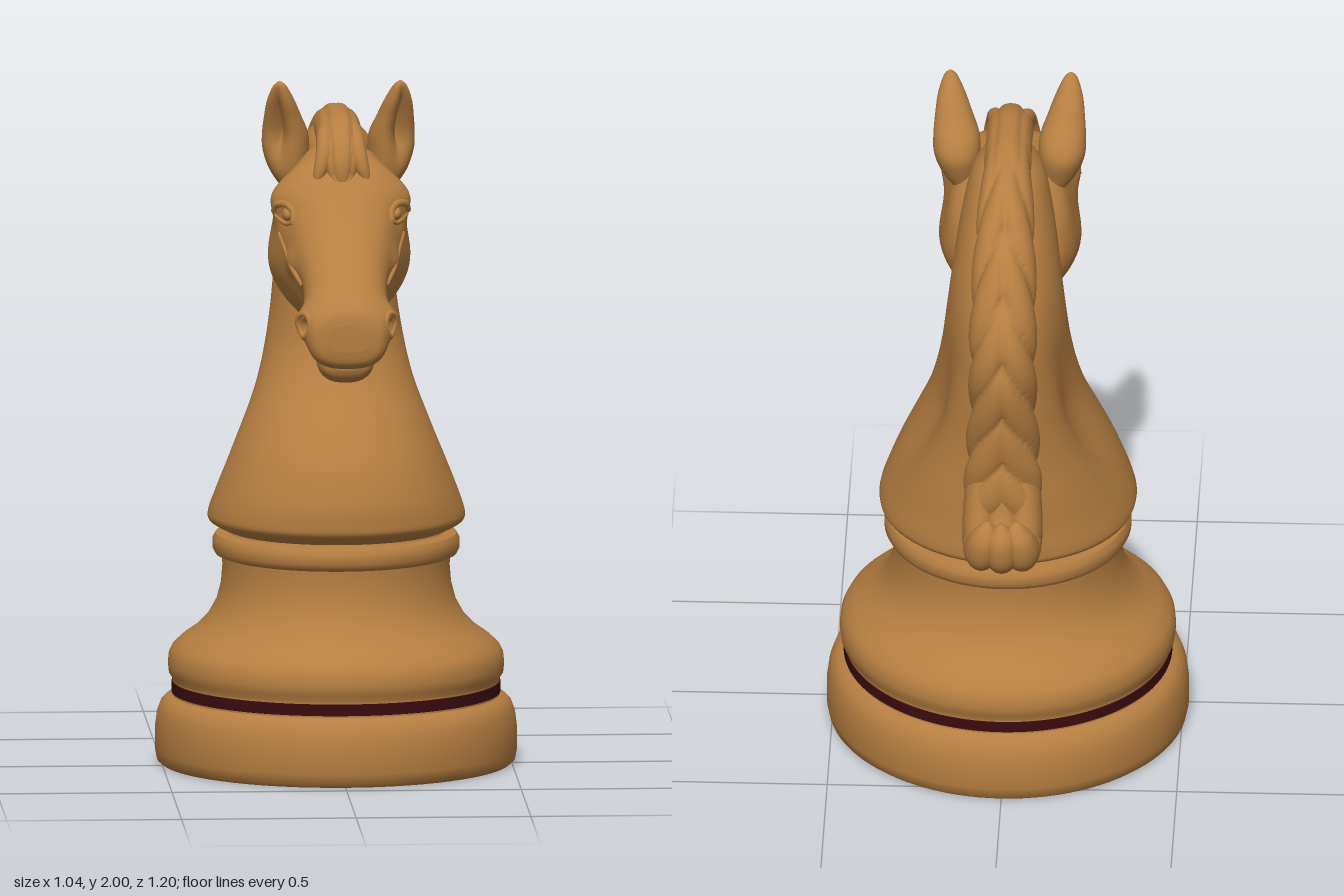
import * as THREE from 'three';
import { toCreasedNormals } from 'three/addons/utils/BufferGeometryUtils.js';

const wood = new THREE.MeshStandardMaterial({ color: 0xb67e41 });
wood.name = 'warm wood';
const bandColour = new THREE.MeshStandardMaterial({ color: 0x3a0b0e });
bandColour.name = 'dark red';

const V = (x, y, z) => new THREE.Vector3(x, y, z);
const bell = (d) => Math.exp(-d * d);
const soft = (c, p = 0.85) => Math.sign(c) * Math.abs(c) ** p;

function mesh(geometry, name, material = wood) {
  const m = new THREE.Mesh(geometry, material);
  m.name = name;
  return m;
}

// Smoothly interpolated rows of numbers
function rowSpline(rows) {
  const curves = rows[0].map((_, k) => new THREE.SplineCurve(rows.map((r, i) => new THREE.Vector2(i, r[k]))));
  return (t) => curves.map((c) => c.getPoint(t).y);
}

// Closed skin of rings point(t, angle), capped at both ends, always facing outward
function skin(point, nu, nv) {
  const pos = [], idx = [], ends = [V(0, 0, 0), V(0, 0, 0)];
  for (let i = 0; i <= nu; i++) {
    for (let j = 0; j < nv; j++) {
      const p = point(i / nu, (j / nv) * Math.PI * 2);
      pos.push(p.x, p.y, p.z);
      if (i === 0) ends[0].addScaledVector(p, 1 / nv);
      if (i === nu) ends[1].addScaledVector(p, 1 / nv);
    }
  }
  ends.forEach((e) => pos.push(e.x, e.y, e.z));
  const first = (nu + 1) * nv;
  for (let j = 0; j < nv; j++) {
    const k = (j + 1) % nv;
    for (let i = 0; i < nu; i++) {
      const a = i * nv + j, b = i * nv + k;
      idx.push(a, b, a + nv, b, b + nv, a + nv);
    }
    idx.push(first, k, j, first + 1, nu * nv + j, nu * nv + k);
  }
  const at = (n) => V(pos[n * 3], pos[n * 3 + 1], pos[n * 3 + 2]);
  let volume = 0;
  for (let n = 0; n < idx.length; n += 3) volume += at(idx[n]).dot(at(idx[n + 1]).cross(at(idx[n + 2])));
  if (volume < 0) idx.reverse();
  const g = new THREE.BufferGeometry();
  g.setAttribute('position', new THREE.Float32BufferAttribute(pos, 3));
  g.setIndex(idx);
  g.computeVertexNormals();
  return g;
}

// Lock of hair: rows are [x, y, z, half width, half thickness]
function lock(rows, nu, nv, relief = () => 0) {
  const path = rowSpline(rows);
  return skin((t, a) => {
    const [x, y, z, w, h] = path(t);
    const p = path(Math.max(0, t - 0.01)), q = path(Math.min(1, t + 0.01));
    const dir = V(0, q[1] - p[1], q[2] - p[2]).normalize();
    const k = 1 + relief(t, a);
    const out = Math.sin(a) * h * k;
    return V(x + Math.cos(a) * w * k, y - dir.z * out, z + dir.y * out);
  }, nu, nv);
}

// Slices along z: rows are [z, top, bottom, upper half width, lower half width]
function slices(rows, nu, nv, bumps = []) {
  const at = rowSpline(rows);
  return skin((t, a) => {
    const [z, top, bottom, wTop, wBottom] = at(t);
    const s = Math.sin(a), c = Math.cos(a);
    const y = (top + bottom) / 2 + ((top - bottom) / 2) * soft(s);
    let x = THREE.MathUtils.lerp(wBottom, wTop, (s + 1) / 2) * soft(c, 0.75);
    for (const [bz, by, r, amount] of bumps) {
      x += soft(c, 0.6) * amount * bell(Math.hypot(z - bz, y - by) / r);
    }
    return V(x, y, z);
  }, nu, nv);
}

function turned(points, name, material) {
  const g = new THREE.LatheGeometry(points.map(([r, y]) => new THREE.Vector2(r, y)), 96);
  const m = mesh(toCreasedNormals(g, 0.75), name, material);
  m.position.z = -0.058;
  return m;
}

export function createModel() {
  const model = new THREE.Group();
  model.name = 'chessKnight';

  // Turned base with inlaid band
  model.add(
    turned([[0, 0], [0.5, 0], [0.512, 0.01], [0.518, 0.04], [0.518, 0.1], [0.512, 0.145], [0.501, 0.175],
      [0.485, 0.19], [0.468, 0.197], [0.468, 0.202]], 'foot'),
    turned([[0.468, 0.202], [0.47, 0.203], [0.47, 0.235], [0.468, 0.236]], 'band', bandColour),
    turned([[0.468, 0.236], [0.468, 0.245], [0.478, 0.26], [0.481, 0.285], [0.478, 0.315], [0.467, 0.337],
      [0.44, 0.362], [0.4, 0.39], [0.367, 0.425], [0.342, 0.47], [0.329, 0.52], [0.325, 0.57], [0.326, 0.598],
      [0.345, 0.605], [0.353, 0.62], [0.353, 0.648], [0.344, 0.663], [0.31, 0.667], [0.3, 0.69], [0, 0.69]], 'pedestal'),
  );

  // Neck: rows are [y, front z, back z, half width]
  const neckAt = rowSpline([
    [0.668, 0.24, -0.356, 0.298], [0.685, 0.28, -0.396, 0.338], [0.705, 0.311, -0.427, 0.367], [0.735, 0.317, -0.432, 0.369],
    [0.8, 0.313, -0.43, 0.348], [0.9, 0.28, -0.43, 0.31], [1.0, 0.215, -0.425, 0.271], [1.1, 0.135, -0.425, 0.236],
    [1.2, 0.078, -0.43, 0.21], [1.3, 0.058, -0.435, 0.188], [1.4, 0.05, -0.435, 0.173], [1.5, 0.05, -0.41, 0.16],
    [1.6, 0.08, -0.36, 0.146], [1.7, 0.1, -0.285, 0.128], [1.8, 0.1, -0.19, 0.1], [1.86, 0.05, -0.1, 0.05],
  ]);
  model.add(mesh(skin((t, a) => {
    const [y, front, back, w] = neckAt(t);
    const z = (front + back) / 2 + ((front - back) / 2) * Math.sin(a);
    const hollow = 0.05 * bell(Math.hypot((y - 1.08) / 0.23, (z + 0.21 - (y - 1.06) * -0.3) / 0.09));
    return V(Math.cos(a) * (w - hollow), y, z);
  }, 80, 72), 'neck'));

  // Head; bumps are [z, y, radius, amount]
  const head = mesh(slices([
    [-0.052, 1.56, 1.46, 0.08, 0.08], [-0.04, 1.66, 1.4, 0.145, 0.135], [0, 1.76, 1.335, 0.178, 0.16],
    [0.06, 1.8, 1.297, 0.186, 0.165], [0.12, 1.8, 1.29, 0.19, 0.165], [0.18, 1.79, 1.3, 0.192, 0.158],
    [0.24, 1.75, 1.305, 0.182, 0.148], [0.3, 1.685, 1.31, 0.158, 0.138], [0.36, 1.62, 1.305, 0.138, 0.13],
    [0.42, 1.563, 1.28, 0.122, 0.124], [0.48, 1.505, 1.247, 0.114, 0.122], [0.53, 1.457, 1.235, 0.108, 0.125],
    [0.57, 1.422, 1.232, 0.1, 0.12], [0.594, 1.395, 1.25, 0.085, 0.1], [0.602, 1.36, 1.285, 0.05, 0.065],
  ], 110, 96, [
    [0.19, 1.68, 0.065, 0.034], [0.1, 1.46, 0.13, 0.032], [0.245, 1.625, 0.03, -0.012], [0.31, 1.5, 0.035, 0.012],
    [0.36, 1.4, 0.06, -0.016], [0.525, 1.365, 0.05, 0.032], [0.545, 1.352, 0.02, -0.04], [0.13, 1.745, 0.04, -0.012],
  ]), 'head');
  model.add(head);

  // Raised line lying on the head's side, through [z, y] points
  const ray = new THREE.Raycaster();
  const skinX = (z, y) => {
    ray.set(V(1, y, z), V(-1, 0, 0));
    return ray.intersectObject(head)[0].point.x;
  };
  function ridge(points, s, radius, closed, name) {
    const path = new THREE.CatmullRomCurve3(points.map(([z, y]) => V(s * (skinX(z, y) - radius * 0.3), y, z)), closed);
    return mesh(new THREE.TubeGeometry(path, 48, radius, 10, closed), name);
  }
  const ring = Array.from({ length: 12 }, (_, i) => {
    const a = (i / 12) * Math.PI * 2;
    return [0.542 + 0.026 * Math.cos(a), 1.354 + 0.034 * Math.sin(a)];
  });

  // Lower jaw and lip
  model.add(mesh(slices([
    [0.15, 1.36, 1.305, 0.05, 0.05], [0.2, 1.38, 1.296, 0.095, 0.075], [0.28, 1.37, 1.284, 0.1, 0.075],
    [0.35, 1.34, 1.256, 0.096, 0.074], [0.4, 1.31, 1.198, 0.092, 0.074], [0.445, 1.29, 1.174, 0.09, 0.074],
    [0.485, 1.265, 1.19, 0.072, 0.06], [0.5, 1.248, 1.215, 0.035, 0.03],
  ], 36, 40), 'lowerJaw'));

  // Ears: rows are [y, centre x, centre z, half width, half depth]
  const earAt = rowSpline([
    [1.67, 0.125, 0.06, 0.03, 0.035], [1.73, 0.142, 0.06, 0.054, 0.062], [1.79, 0.15, 0.058, 0.067, 0.079],
    [1.84, 0.153, 0.07, 0.066, 0.074], [1.89, 0.161, 0.096, 0.054, 0.056],
    [1.94, 0.168, 0.122, 0.04, 0.042], [1.985, 0.172, 0.145, 0.02, 0.02], [2.0, 0.173, 0.15, 0.004, 0.004],
  ]);
  for (const s of [1, -1]) {
    const side = s > 0 ? 'left' : 'right';
    model.add(mesh(skin((t, a) => {
      const [y, cx, cz, w, d] = earAt(t);
      const turn = Math.atan2(Math.sin(a - 1.1), Math.cos(a - 1.1));
      const k = 1 - 0.9 * bell(turn / 0.55) * bell((t - 0.55) / 0.28);
      return V(s * (cx + Math.cos(a) * w * k), y, cz + Math.sin(a) * d * k);
    }, 40, 48), side + 'Ear'));

    // Eye with upper and lower lids
    const eye = mesh(new THREE.SphereGeometry(1, 24, 16), side + 'Eye');
    eye.scale.set(0.016, 0.02, 0.032);
    eye.position.set(s * (skinX(0.242, 1.63) - 0.006), 1.63, 0.242);
    model.add(eye);
    model.add(ridge([[0.195, 1.632], [0.215, 1.654], [0.245, 1.659], [0.27, 1.642], [0.285, 1.615]], s, 0.011, false, side + 'UpperLid'));
    model.add(ridge([[0.2, 1.622], [0.225, 1.608], [0.255, 1.604], [0.285, 1.612]], s, 0.007, false, side + 'LowerLid'));

    // Nostril rim and cheek crest
    model.add(ridge(ring, s, 0.009, true, side + 'NostrilRim'));
    model.add(ridge([[0.22, 1.57], [0.27, 1.53], [0.33, 1.485], [0.39, 1.445]], s, 0.008, false, side + 'CheekCrest'));
  }

  // Braided mane with a herringbone relief
  model.add(mesh(lock([
    [0, 1.7, 0.235, 0.03, 0.03], [0, 1.77, 0.205, 0.056, 0.06], [0, 1.825, 0.13, 0.066, 0.068], [0, 1.84, 0.02, 0.066, 0.068],
    [0, 1.815, -0.12, 0.07, 0.076], [0, 1.735, -0.25, 0.08, 0.084], [0, 1.62, -0.345, 0.088, 0.09],
    [0, 1.5, -0.415, 0.092, 0.093], [0, 1.38, -0.445, 0.093, 0.092], [0, 1.25, -0.437, 0.094, 0.087],
    [0, 1.12, -0.427, 0.1, 0.08], [0, 1.0, -0.428, 0.106, 0.076], [0, 0.9, -0.44, 0.1, 0.068], [0, 0.82, -0.46, 0.06, 0.04],
  ], 200, 56, (t, a) => {
    const off = Math.abs(Math.atan2(Math.sin(a - Math.PI / 2), Math.cos(a - Math.PI / 2)));
    const braid = Math.abs(Math.sin(Math.PI * (10 * t - off * 0.7)));
    const fade = THREE.MathUtils.smoothstep(t, 0.22, 0.42);
    return fade * (0.24 * Math.sqrt(braid) - 0.18 - 0.1 * bell(off / 0.14)) - (1 - fade) * 0.08 * bell((off - 0.6) / 0.15);
  }), 'mane'));

  // Curled locks at the end of the mane
  for (const x of [-1, 0, 1]) {
    const out = 0.014 * Math.abs(x);
    model.add(mesh(lock([
      [x * 0.05, 1.08, -0.425, 0.03, 0.04], [x * 0.06, 0.97, -0.43, 0.046, 0.06], [x * 0.064, 0.88, -0.45, 0.05, 0.066],
      [x * 0.062, 0.815, -0.485 + out, 0.052, 0.075], [x * 0.058, 0.81, -0.525 + out, 0.052, 0.07],
      [x * 0.052, 0.845, -0.55 + out, 0.048, 0.054], [x * 0.046, 0.88, -0.555 + out, 0.036, 0.036],
      [x * 0.042, 0.91, -0.55 + out, 0.008, 0.008],
    ], 48, 20), 'maneCurl'));
  }

  // Forelock strands fanning over the brow
  for (const [x, tipX, tipY, tipZ] of [[0.02, 0.016, 1.68, 0.275], [0.044, 0.08, 1.7, 0.235]]) {
    for (const s of [1, -1]) {
      model.add(mesh(lock([
        [s * x * 0.7, 1.865, 0.07, 0.018, 0.022], [s * x, 1.845, 0.155, 0.023, 0.024], [s * x * 1.1, 1.805, 0.212, 0.024, 0.024],
        [s * (x + tipX) / 2, 1.75, 0.237, 0.019, 0.018], [s * tipX, tipY, tipZ, 0.005, 0.006],
      ], 28, 14), 'forelock'));
    }
  }
  return model;
}
